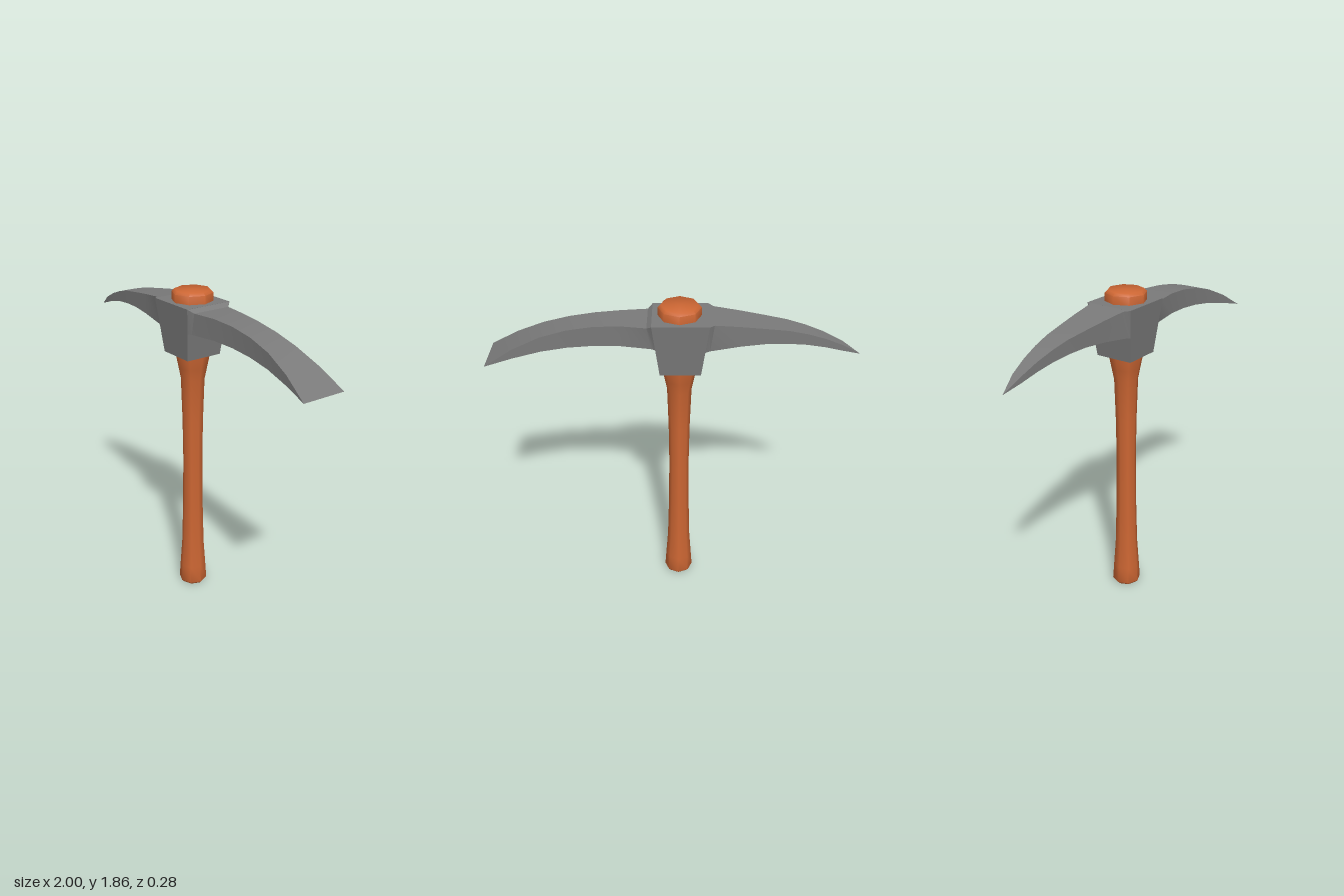
import * as THREE from 'three';
import { toCreasedNormals } from 'three/addons/utils/BufferGeometryUtils.js';

const metal = new THREE.MeshStandardMaterial({ color: 0x7a7a7a });
const wood = new THREE.MeshStandardMaterial({ color: 0xcc6633 });

// Four-sided loft along +x; each section is [xTop, yTop, zTop, xBottom, yBottom, zBottom] with half-widths in z
function loft(sections) {
  const pos = [];
  const index = [];
  sections.forEach(([xt, yt, zt, xb, yb, zb], k) => {
    pos.push(xt, yt, zt, xb, yb, zb, xb, yb, -zb, xt, yt, -zt);
    if (k === 0) return;
    const a = (k - 1) * 4, b = k * 4;
    for (let i = 0; i < 4; i++) {
      const j = (i + 1) % 4;
      index.push(a + i, a + j, b + j, a + i, b + j, b + i);
    }
  });
  const e = (sections.length - 1) * 4;
  index.push(0, 2, 1, 0, 3, 2, e, e + 1, e + 2, e, e + 2, e + 3);
  const geo = new THREE.BufferGeometry();
  geo.setAttribute('position', new THREE.Float32BufferAttribute(pos, 3));
  geo.setIndex(index);
  return toCreasedNormals(geo, 0.5);
}

function part(name, geometry, material) {
  const mesh = new THREE.Mesh(geometry, material);
  mesh.name = name;
  return mesh;
}

export function createModel() {
  const group = new THREE.Group();
  group.name = 'pickaxe';

  // Eight-sided handle, flared at both ends and passing through the head
  const profile = [
    [0, 0], [0.072, 0], [0.085, 0.015], [0.078, 0.12], [0.067, 0.28], [0.06, 0.55],
    [0.057, 0.85], [0.06, 1.1], [0.068, 1.35], [0.082, 1.42], [0.098, 1.5],
    [0.115, 1.78], [0.115, 1.845], [0.1, 1.86], [0, 1.86],
  ].map(([r, y]) => new THREE.Vector2(r, y));
  const handle = part('handle', toCreasedNormals(new THREE.LatheGeometry(profile, 8), 0.83), wood);
  handle.position.x = -0.03;
  group.add(handle);

  // Tapered collar around the handle
  group.add(part('collar', loft([
    [-0.185, 1.8, 0.14, -0.145, 1.5, 0.11],
    [0.115, 1.8, 0.14, 0.075, 1.5, 0.11],
  ]), metal));

  // Pointed arm, from tip to collar
  group.add(part('pickArm', loft([
    [-1, 1.575, 0, -1, 1.575, 0],
    [-0.9, 1.64, 0.027, -0.9, 1.608, 0.027],
    [-0.8, 1.686, 0.042, -0.8, 1.637, 0.042],
    [-0.7, 1.72, 0.055, -0.7, 1.658, 0.055],
    [-0.6, 1.745, 0.067, -0.6, 1.67, 0.067],
    [-0.48, 1.763, 0.081, -0.48, 1.675, 0.081],
    [-0.35, 1.781, 0.096, -0.35, 1.668, 0.096],
    [-0.21, 1.797, 0.112, -0.19, 1.648, 0.112],
    [-0.184, 1.8, 0.14, -0.164, 1.645, 0.124],
  ]), metal));

  // Broad arm, from collar to the flared cutting edge
  group.add(part('adzeArm', loft([
    [0.114, 1.8, 0.14, 0.095, 1.66, 0.126],
    [0.14, 1.78, 0.113, 0.118, 1.66, 0.113],
    [0.28, 1.781, 0.093, 0.28, 1.666, 0.093],
    [0.42, 1.772, 0.084, 0.42, 1.662, 0.084],
    [0.56, 1.75, 0.083, 0.56, 1.65, 0.083],
    [0.7, 1.712, 0.089, 0.7, 1.629, 0.089],
    [0.85, 1.648, 0.106, 0.85, 1.597, 0.106],
    [1, 1.56, 0.13, 1, 1.56, 0.13],
  ]), metal));

  return group;
}
